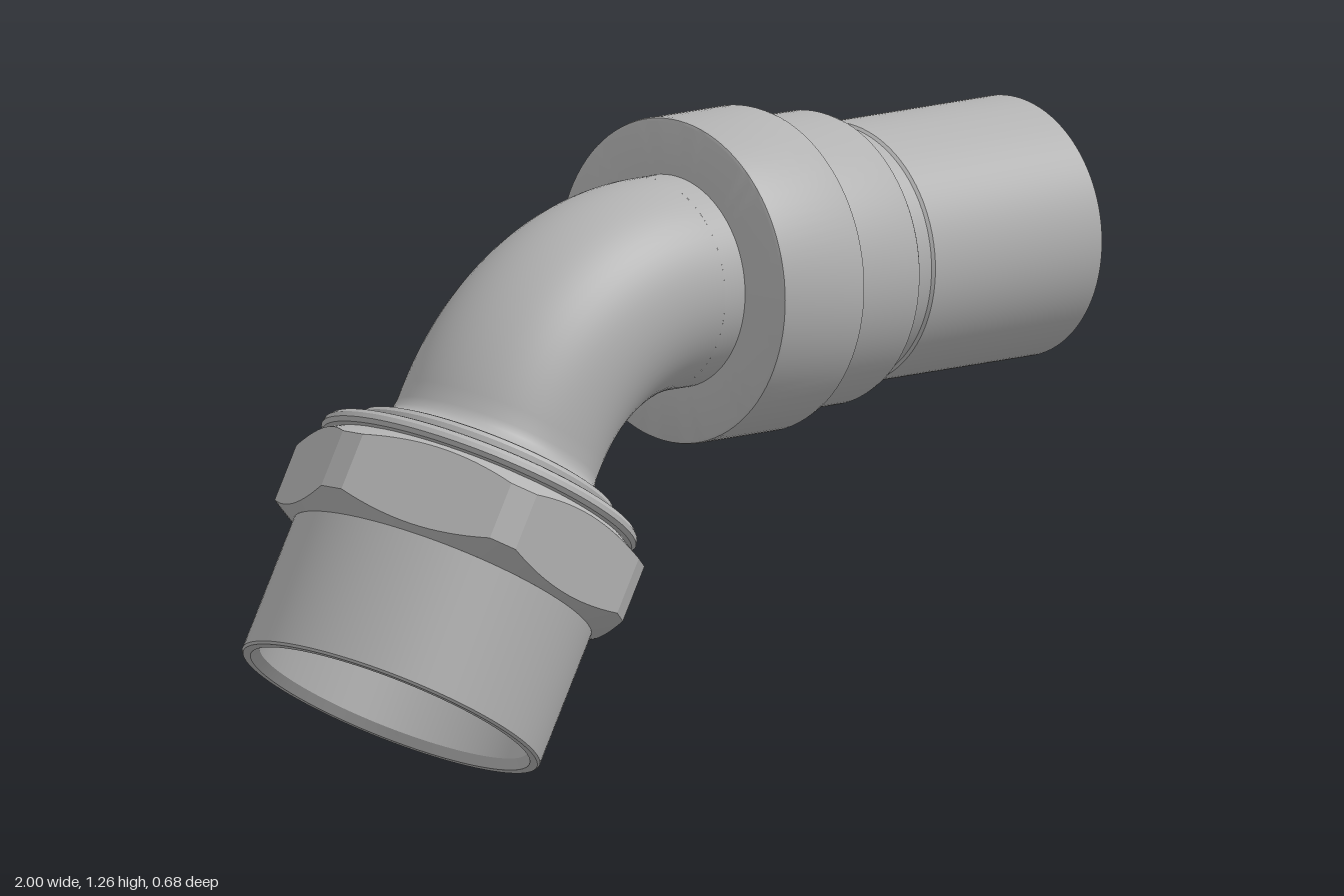
import * as THREE from 'three';
import { toCreasedNormals } from 'three/addons/utils/BufferGeometryUtils.js';

const metal = new THREE.MeshStandardMaterial({ color: 0xb2b2b2, side: THREE.DoubleSide });
metal.name = 'grey metal';

const BEND = 0.476, PIPE = 0.215, BORE = 0.168, AXIS_Y = 0.938;

function part(name, geometry, parent) {
  const mesh = new THREE.Mesh(geometry, metal);
  mesh.name = name;
  parent.add(mesh);
  return mesh;
}

// Turned part from [radius, height] pairs, with sharp edges kept
function turned(name, profile, parent) {
  const points = profile.map(([r, y]) => new THREE.Vector2(r, y));
  return part(name, toCreasedNormals(new THREE.LatheGeometry(points, 96), 0.5), parent);
}

// Chamfered hexagon nut dimensions
const FLAT = 0.34, CORNER = 0.377, NECK = 0.32, LOW = 0.29, HIGH = 0.48;
const chamfer = r => 0.035 * (r - NECK) / (CORNER - NECK);

// Hexagon built from rings; the middle band of face 0 is left open for the drilled panel
function hexGeometry() {
  const pos = [], half = Math.acos(FLAT / CORNER), angles = [];
  for (let k = 0; k < 6; k++) {
    const mid = Math.PI / 6 + k * Math.PI / 3;
    for (let i = 0; i <= 16; i++) angles.push({ a: mid + half * (i / 8 - 1), face: k });
  }
  const column = ({ a, face }) => {
    const r = FLAT / Math.cos(a - Math.PI / 6 - face * Math.PI / 3);
    return [[NECK, LOW], [r, LOW + chamfer(r)], [r, HIGH - chamfer(r)], [NECK, HIGH]]
      .map(([q, y]) => [q * Math.cos(a), y, q * Math.sin(a)]);
  };
  angles.forEach((from, i) => {
    const to = angles[(i + 1) % angles.length];
    const A = column(from), B = column(to);
    for (let j = 0; j < 3; j++) {
      if (j === 1 && from.face === 0 && to.face === 0) continue;
      pos.push(...A[j], ...A[j + 1], ...B[j], ...B[j], ...A[j + 1], ...B[j + 1]);
    }
  });
  const g = new THREE.BufferGeometry();
  g.setAttribute('position', new THREE.Float32BufferAttribute(pos, 3));
  return toCreasedNormals(g, 0.3);
}

// Flat of the nut with the lock wire hole
function drilledFace(parent) {
  const hx = 0.113, hy = 0.39, hr = 0.028, depth = 0.04;
  const w = FLAT * Math.tan(Math.acos(FLAT / CORNER)), top = [], bottom = [];
  for (let i = 0; i <= 16; i++) {
    const r = FLAT / Math.cos(Math.acos(FLAT / CORNER) * (i / 8 - 1));
    const x = FLAT * Math.tan(Math.acos(FLAT / CORNER) * (i / 8 - 1));
    bottom.push(new THREE.Vector2(x, LOW + chamfer(r)));
    top.unshift(new THREE.Vector2(x, HIGH - chamfer(r)));
  }
  const shape = new THREE.Shape([...bottom, ...top]);
  shape.holes.push(new THREE.Path().absarc(Math.min(hx, w - hr - 0.005), hy, hr, 0, Math.PI * 2, true));
  const face = new THREE.Group();
  face.name = 'drilledFace';
  face.rotation.y = Math.PI / 3; // local z becomes the outward normal of the flat
  parent.add(face);
  part('drilledFlat', new THREE.ShapeGeometry(shape, 16), face).position.z = FLAT;
  const hole = part('wireHole', new THREE.CylinderGeometry(hr, hr, depth, 24, 1, true), face);
  hole.rotation.x = Math.PI / 2;
  hole.position.set(Math.min(hx, w - hr - 0.005), hy, FLAT - depth / 2);
  part('wireHoleFloor', new THREE.CircleGeometry(hr, 24), face)
    .position.set(Math.min(hx, w - hr - 0.005), hy, FLAT - depth);
}

export function createModel() {
  const model = new THREE.Group();
  model.name = 'pipeElbowFitting';

  // Sixty degree bend, outside and bore
  for (const [name, r] of [['elbow', PIPE], ['elbowBore', BORE]]) {
    const bend = part(name, new THREE.TorusGeometry(BEND, r, 64, 48, Math.PI / 3), model);
    bend.rotation.z = Math.PI / 2;
    bend.position.y = AXIS_Y - BEND;
  }

  // Horizontal end, turned about its own axis
  const outlet = new THREE.Group();
  outlet.name = 'outlet';
  outlet.rotation.z = -Math.PI / 2;
  outlet.position.y = AXIS_Y;
  model.add(outlet);
  turned('elbowNeck', [[PIPE, 0], [PIPE, 0.06]], outlet);
  turned('largeCollar', [
    [PIPE, 0.055], [0.322, 0.055], [0.328, 0.058], [0.33, 0.064], [0.33, 0.268],
    [0.327, 0.278], [0.32, 0.284], [0.31, 0.286], [0.29, 0.286],
  ], outlet);
  turned('smallCollar', [
    [0.29, 0.28], [0.298, 0.292], [0.298, 0.452], [0.295, 0.462], [0.288, 0.469],
    [0.278, 0.471], [0.258, 0.471],
  ], outlet);
  turned('sleeve', [
    [0.259, 0.465], [0.259, 0.53], [0.264, 0.536], [0.264, 0.998], [0.262, 1],
    [0.252, 1], [0.247, 0.99], [0.226, 0.86], [0.2, 0.86],
  ], outlet);
  turned('innerTube', [
    [0.203, 0.86], [0.203, 0.96], [0.186, 0.975], [0.172, 0.975], [BORE, 0.97], [BORE, 0],
  ], outlet);

  // Slanted end with the hexagon nut
  const inlet = new THREE.Group();
  inlet.name = 'inlet';
  inlet.rotation.z = -Math.PI / 6;
  inlet.position.set(-0.723, 0.162, 0);
  model.add(inlet);
  turned('nutSkirt', [
    [BORE, 0.622], [BORE, 0.3], [0.2, 0.26], [0.288, 0.25], [0.288, 0.02], [0.3, 0],
    [0.316, 0], [0.32, 0.005], [0.32, LOW],
  ], inlet);
  part('hexNut', hexGeometry(), inlet);
  drilledFace(inlet);
  turned('nutLip', [
    [0.318, 0.478], [0.332, 0.482], [0.338, 0.491], [0.336, 0.502], [0.328, 0.511],
    [0.314, 0.515], [0.29, 0.515], [0.286, 0.511], [0.286, 0.47], [0.27, 0.47],
  ], inlet);
  turned('ferrule', [
    [0.274, 0.47], [0.274, 0.534], [0.268, 0.543], [0.258, 0.546], [0.24, 0.549],
    [0.227, 0.557], [0.218, 0.57], [PIPE, 0.588], [PIPE, 0.622],
  ], inlet);

  return model;
}
